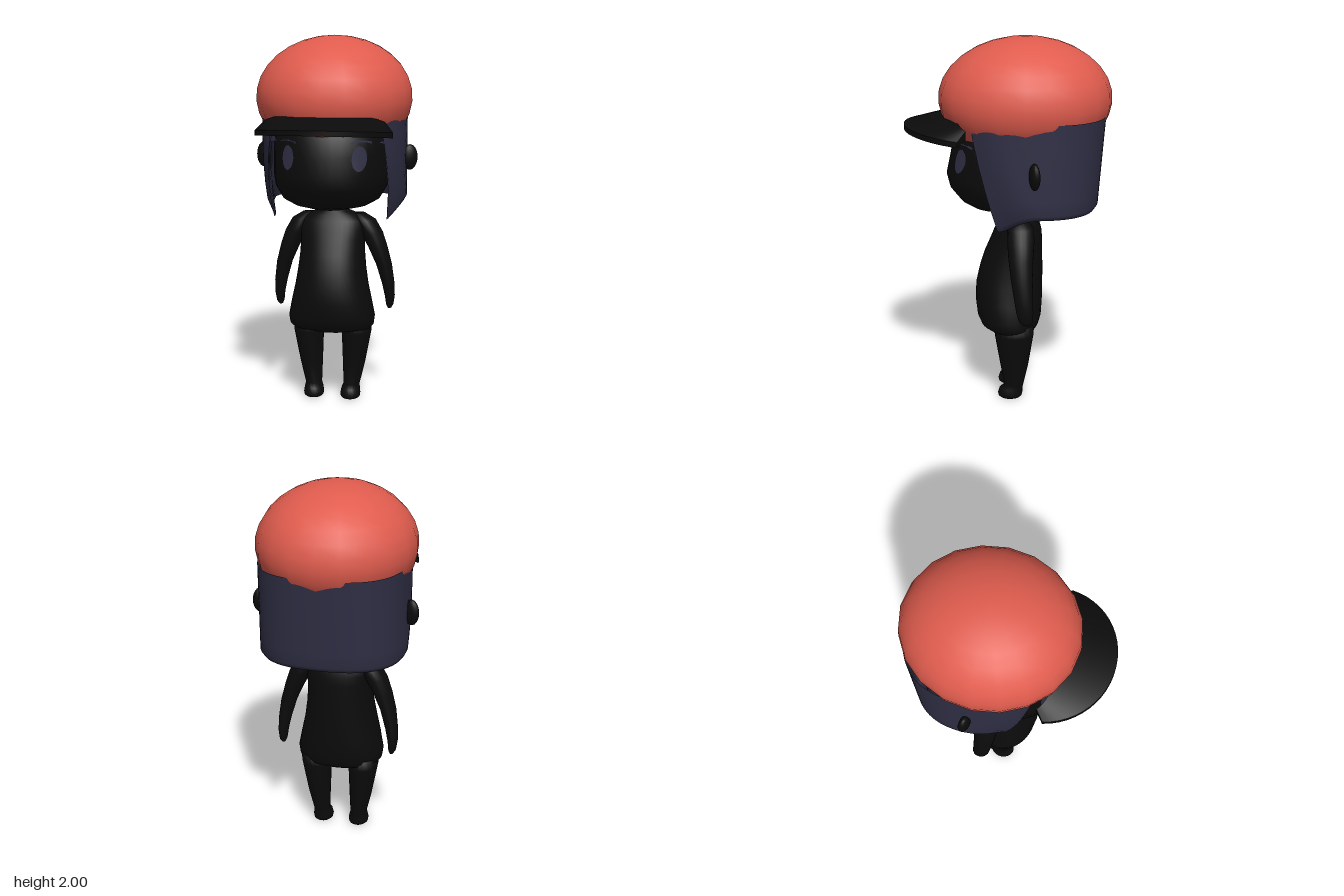
import * as THREE from 'three';
import { toCreasedNormals } from 'three/addons/utils/BufferGeometryUtils.js';

const mat = (name, color, side = THREE.FrontSide) => {
  const m = new THREE.MeshStandardMaterial({ color, side });
  m.name = name;
  return m;
};

const spow = (v, p) => Math.sign(v) * Math.pow(Math.abs(v), p);
const smooth = THREE.MathUtils.smoothstep;
const lerp = THREE.MathUtils.lerp;

// Skins rows of points; rings may be closed, and end rows may be capped
function skin(rows, closed = true, caps = true) {
  const n = rows[0].length, pos = rows.flat(2), idx = [];
  const at = (i, j) => i * n + (j % n);
  for (let i = 0; i < rows.length - 1; i++) {
    for (let j = 0; j < (closed ? n : n - 1); j++) {
      idx.push(at(i, j), at(i, j + 1), at(i + 1, j));
      idx.push(at(i, j + 1), at(i + 1, j + 1), at(i + 1, j));
    }
  }
  if (caps) {
    [0, rows.length - 1].forEach((i) => {
      const c = pos.length / 3;
      for (let k = 0; k < 3; k++) pos.push(rows[i].reduce((s, p) => s + p[k], 0) / n);
      for (let j = 0; j < n; j++) {
        if (i === 0) idx.push(c, at(i, j + 1), at(i, j));
        else idx.push(c, at(i, j), at(i, j + 1));
      }
    });
  }
  const g = new THREE.BufferGeometry();
  g.setAttribute('position', new THREE.Float32BufferAttribute(pos, 3));
  g.setIndex(idx);
  g.computeVertexNormals();
  return g;
}

// Horizontal superellipse sections [x, y, z, halfWidth, halfDepth], top to bottom
function loft(sections, exponent = 2, n = 32) {
  return skin(sections.map(([x, y, z, rx, rz]) =>
    Array.from({ length: n }, (_, j) => {
      const a = (j / n) * Math.PI * 2;
      return [x + rx * spow(Math.cos(a), 2 / exponent), y, z + rz * spow(Math.sin(a), 2 / exponent)];
    })));
}

const HEAD_EXP = 2.1;
const HEAD = [
  [0, 1.58, -0.05, 0.25, 0.25], [0, 1.48, -0.055, 0.315, 0.345], [0, 1.38, -0.045, 0.32, 0.352],
  [0, 1.27, -0.02, 0.315, 0.35], [0, 1.2, -0.01, 0.303, 0.322], [0, 1.13, 0, 0.262, 0.255],
  [0, 1.095, 0, 0.2, 0.2], [0, 1.075, 0.01, 0.1, 0.13],
];

// Depth of the face surface at x, y
function faceZ(x, y) {
  let i = 0;
  while (i < HEAD.length - 2 && HEAD[i + 1][1] > y) i++;
  const t = (HEAD[i][1] - y) / (HEAD[i][1] - HEAD[i + 1][1]);
  const [cz, rx, rz] = [2, 3, 4].map((k) => lerp(HEAD[i][k], HEAD[i + 1][k], t));
  return cz + rz * Math.pow(1 - Math.pow(Math.abs(x) / rx, HEAD_EXP), 1 / HEAD_EXP);
}

// Lays a flat shape onto the face
function onFace(g, cx, cy, arch = 0) {
  const p = g.attributes.position;
  for (let i = 0; i < p.count; i++) {
    const x = cx + p.getX(i), y = cy + p.getY(i) - arch * p.getX(i) ** 2;
    p.setXYZ(i, x, y, faceZ(x, y) + 0.006);
  }
  g.computeVertexNormals();
  return g;
}

// Bobbed hair: an open shell wrapping sides and back, longer at the front locks
function hairGeometry() {
  const cols = 56, exp = 2.6, cz = -0.12;
  // [height fraction, radial inset, ceiling scale]
  const profile = [[1, 0, 1], [0.8, 0, 1], [0.6, 0, 1], [0.4, 0, 1], [0.2, 0, 1], [0.05, 0, 1], [0, 0.04, 1],
    [0, 0.13, 1], [0.3, 0.15, 1], [0.72, 0.15, 1], [0.76, 0.15, 0.7]];
  return skin(profile.map(([v, inset, ceil]) => {
    const alpha = THREE.MathUtils.degToRad(lerp(20, 50, v));
    return Array.from({ length: cols + 1 }, (_, j) => {
      const s = (j / cols) * 2 - 1;
      const a = Math.PI * 1.5 + s * (Math.PI / 2 + alpha);
      const edge = smooth(Math.abs(s), 0.78, 1);
      const r = (1 - inset * (1 - s ** 8)) * ceil;
      const x = 0.39 * spow(Math.cos(a), 2 / exp) * (1 - 0.17 * edge * (1 - v) ** 2);
      const z = 0.39 * spow(Math.sin(a), 2 / exp) * (Math.sin(a) < 0 ? lerp(0.93, 1.03, v) : 1);
      return [x * r, lerp(1.1 - 0.08 * edge, 1.6, v), cz + z * r];
    });
  }), false, false);
}

// Cap brim: a curved, sloping crescent
function brimGeometry() {
  const n = 24, rows = [];
  for (let i = 0; i <= n; i++) {
    const a = lerp(0.155, Math.PI - 0.155, i / n), c = Math.cos(a), s = Math.sin(a);
    const out = [0.37 * c, 0.2 + 0.355 * s], inn = [0.325 * c, 0.2 + 0.09 * s];
    rows.push([
      [out[0], 1.505 + 0.037 * s, out[1]], [inn[0], 1.55 + 0.055 * s, inn[1]],
      [inn[0], 1.51 + 0.04 * s, inn[1]], [out[0], 1.475 + 0.04 * s, out[1]],
    ]);
  }
  return toCreasedNormals(skin(rows), 0.6);
}

export function createModel() {
  const black = mat('black', 0x0b0b0b);
  const navy = mat('navy', 0x2f2f45, THREE.DoubleSide);
  const red = mat('red', 0xe05c4e);
  const model = new THREE.Group();
  model.name = 'figure';
  const add = (name, geometry, material) => {
    const m = new THREE.Mesh(geometry, material);
    m.name = name;
    model.add(m);
    return m;
  };

  // Head and hair
  add('head', loft(HEAD, HEAD_EXP, 40), black);
  add('hair', hairGeometry(), navy);

  // Cap
  const crown = add('capCrown', new THREE.SphereGeometry(1, 20, 11, 0, Math.PI * 2, 0, 2.25), red);
  crown.scale.set(0.425, 0.33, 0.463);
  crown.position.set(0, 1.67, -0.092);
  add('capBrim', brimGeometry(), black);

  // Neck and flared torso
  add('torso', loft([
    [0, 1.12, -0.05, 0.055, 0.045], [0, 1.075, -0.055, 0.06, 0.05], [0, 1.05, -0.06, 0.09, 0.07],
    [0, 1.03, -0.06, 0.14, 0.09], [0, 1.0, -0.06, 0.175, 0.108], [0, 0.95, -0.055, 0.18, 0.128],
    [0, 0.9, -0.047, 0.176, 0.14], [0, 0.82, -0.03, 0.178, 0.158], [0, 0.74, -0.018, 0.186, 0.172],
    [0, 0.65, -0.008, 0.2, 0.182], [0, 0.56, -0.005, 0.22, 0.184], [0, 0.47, -0.008, 0.238, 0.176],
    [0, 0.425, -0.012, 0.232, 0.16], [0, 0.405, -0.022, 0.215, 0.14], [0, 0.385, -0.03, 0.12, 0.1],
  ], 2.2, 36), black);

  for (const [side, k] of [['left', 1], ['right', -1]]) {
    // Arm
    add(side + 'Arm', loft([
      [0.14, 1.035, -0.07, 0.035, 0.04], [0.17, 1.0, -0.07, 0.062, 0.07], [0.21, 0.93, -0.07, 0.062, 0.072],
      [0.245, 0.85, -0.07, 0.053, 0.066], [0.28, 0.75, -0.075, 0.043, 0.058], [0.303, 0.64, -0.085, 0.034, 0.05],
      [0.311, 0.57, -0.092, 0.027, 0.045], [0.31, 0.52, -0.098, 0.02, 0.036], [0.308, 0.5, -0.1, 0.01, 0.018],
    ].map(([x, ...r]) => [x * k, ...r]), 2, 20), black);
    // Leg and foot
    add(side + 'Leg', loft([
      [0.135, 0.44, -0.035, 0.085, 0.11], [0.134, 0.38, -0.035, 0.082, 0.106], [0.12, 0.2, -0.036, 0.062, 0.077],
      [0.107, 0.075, -0.033, 0.045, 0.053], [0.104, 0.053, -0.018, 0.051, 0.064], [0.103, 0.025, -0.013, 0.056, 0.068],
      [0.103, 0.008, -0.013, 0.053, 0.064], [0.103, 0, -0.013, 0.044, 0.053],
    ].map(([x, ...r]) => [x * k, ...r]), 2, 20), black);
    // Ear
    const ear = add(side + 'Ear', new THREE.SphereGeometry(1, 16, 12), black);
    ear.scale.set(0.045, 0.07, 0.026);
    ear.position.set(0.408 * k, 1.34, -0.138);
    ear.rotation.y = 0.4 * k;
    // Eye and brow
    add(side + 'Eye', onFace(new THREE.CircleGeometry(1, 24).scale(0.036, 0.066, 1), 0.19 * k, 1.37), navy);
    add(side + 'Brow', onFace(new THREE.PlaneGeometry(0.1, 0.01, 8, 1), 0.195 * k, 1.46, 4), navy);
  }
  return model;
}
